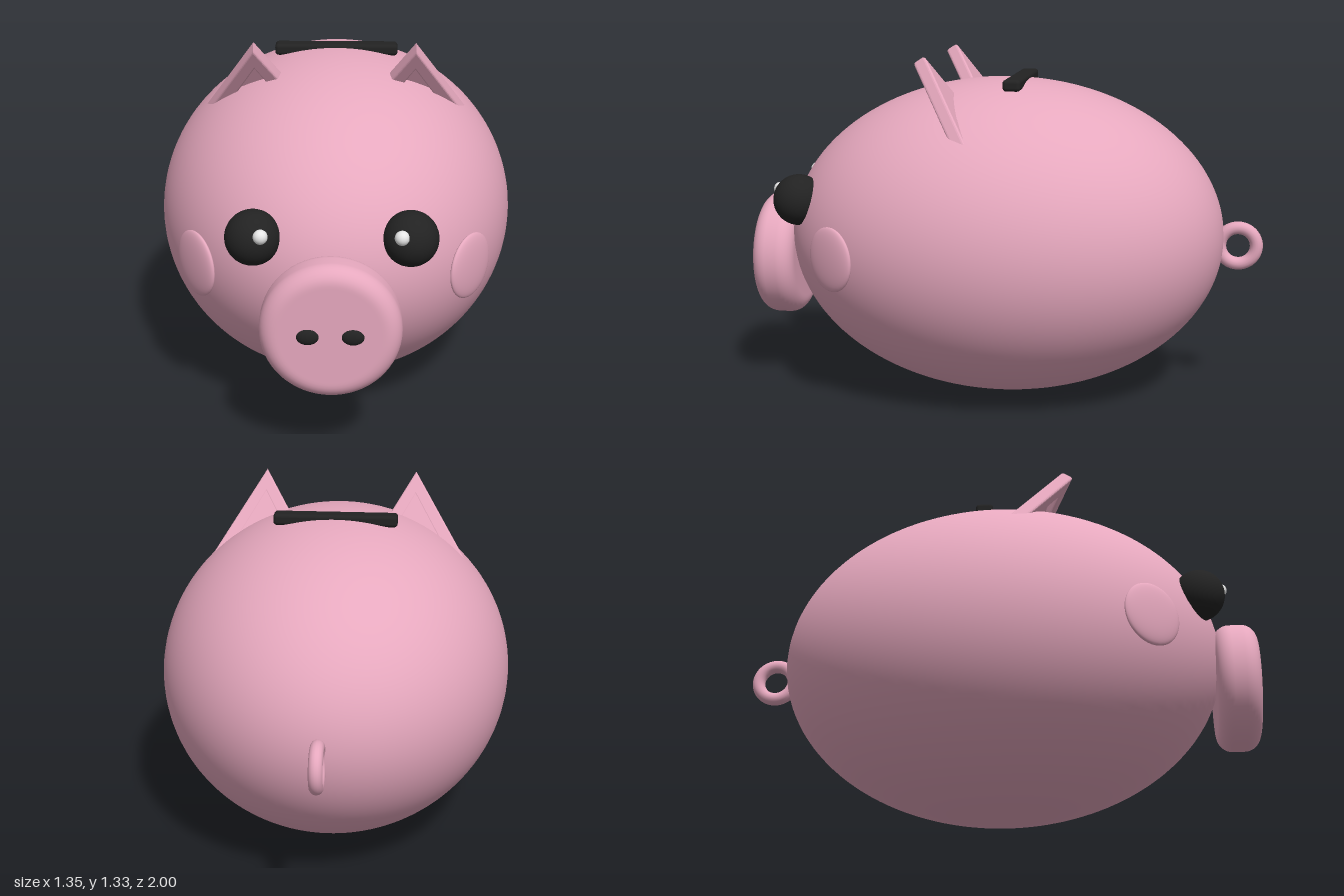
import * as THREE from 'three';
import { RoundedBoxGeometry } from 'three/addons/geometries/RoundedBoxGeometry.js';

export function createModel() {
  const model = new THREE.Group();
  model.name = 'piggyBank';

  const material = (name, color) => {
    const m = new THREE.MeshStandardMaterial({ color });
    m.name = name;
    return m;
  };
  const pink = material('pink', 0xe6a8be);
  const black = material('black', 0x222222);
  const white = material('white', 0xffffff);

  const add = (name, geometry, mat, position = [0, 0, 0], parent = model) => {
    const mesh = new THREE.Mesh(geometry, mat);
    mesh.name = name;
    mesh.position.set(...position);
    parent.add(mesh);
    return mesh;
  };
  const ellipsoid = (rx, ry, rz, w = 32, h = 24) =>
    new THREE.SphereGeometry(1, w, h).scale(rx, ry, rz);

  // Egg-shaped body
  add('body', ellipsoid(0.675, 0.614, 0.85, 96, 64), pink, [0, 0.617, 0]);

  // Snout: a disc with rounded rims, turned to face forward
  const radius = 0.245, round = 0.06, depth = 0.165;
  const profile = [new THREE.Vector2(0, 0), new THREE.Vector2(radius - round - 0.01, 0)];
  for (const end of [0, 1]) {
    for (let i = 0; i <= 8; i++) {
      const a = -Math.PI / 2 + (end + i / 8) * Math.PI / 2;
      const centre = end ? depth - round : round;
      profile.push(new THREE.Vector2(
        radius - round + Math.cos(a) * round, centre + Math.sin(a) * round));
    }
  }
  profile.push(new THREE.Vector2(radius - round - 0.01, depth), new THREE.Vector2(0, depth));
  add('snout', new THREE.LatheGeometry(profile, 64).rotateX(Math.PI / 2), pink,
    [0, 0.505, 0.822]);

  // Ear outline, hanging down from the tip at the origin
  const triangle = (Type, top, halfWidth, bottom) => {
    const path = new Type();
    path.moveTo(0, top);
    path.lineTo(-halfWidth, bottom);
    path.lineTo(halfWidth, bottom);
    path.closePath();
    return path;
  };
  const bevel = 0.01;
  const rimShape = triangle(THREE.Shape, -0.022, 0.195, -0.37);
  rimShape.holes.push(triangle(THREE.Path, -0.095, 0.136, -0.345));
  const rimGeometry = new THREE.ExtrudeGeometry(rimShape, {
    depth: 0.032, bevelEnabled: true, bevelThickness: bevel, bevelSize: bevel, bevelSegments: 3,
  }).translate(0, 0, -0.016);
  const panelGeometry = new THREE.ExtrudeGeometry(triangle(THREE.Shape, -0.03, 0.185, -0.365), {
    depth: 0.024, bevelEnabled: false,
  }).translate(0, 0, -0.025);

  for (const [side, s] of [['left', 1], ['right', -1]]) {
    // Ear: a thick rim around a recessed panel, leaning forward
    const ear = new THREE.Group();
    ear.name = side + 'Ear';
    ear.position.set(s * 0.295, 1.325, 0.285);
    ear.rotation.x = 0.57;
    model.add(ear);
    add(side + 'EarRim', rimGeometry, pink, [0, 0, 0], ear);
    add(side + 'EarPanel', panelGeometry, pink, [0, 0, 0], ear);

    // Eye with a small glint
    add(side + 'Eye', ellipsoid(0.098, 0.098, 0.098), black, [s * 0.272, 0.773, 0.765]);
    add(side + 'EyeGlint', ellipsoid(0.026, 0.026, 0.026, 16, 12), white,
      [s * 0.24, 0.808, 0.848]);

    // Flattened cheek following the body surface
    const cheek = add(side + 'Cheek', ellipsoid(0.122, 0.122, 0.024), pink,
      [s * 0.492, 0.593, 0.58]);
    cheek.rotation.y = s * 0.93;

    // Nostril
    add(side + 'Nostril', ellipsoid(0.04, 0.03, 0.018, 24, 16), black,
      [s * 0.077, 0.503, 0.982]);
  }

  // Coin slot on the back
  add('coinSlot', new RoundedBoxGeometry(0.47, 0.044, 0.068, 4, 0.014), black,
    [0, 1.221, -0.055]);

  // Curled tail
  add('tail', new THREE.TorusGeometry(0.07, 0.025, 16, 48).rotateY(Math.PI / 2), pink,
    [0, 0.595, -0.905]);

  return model;
}
